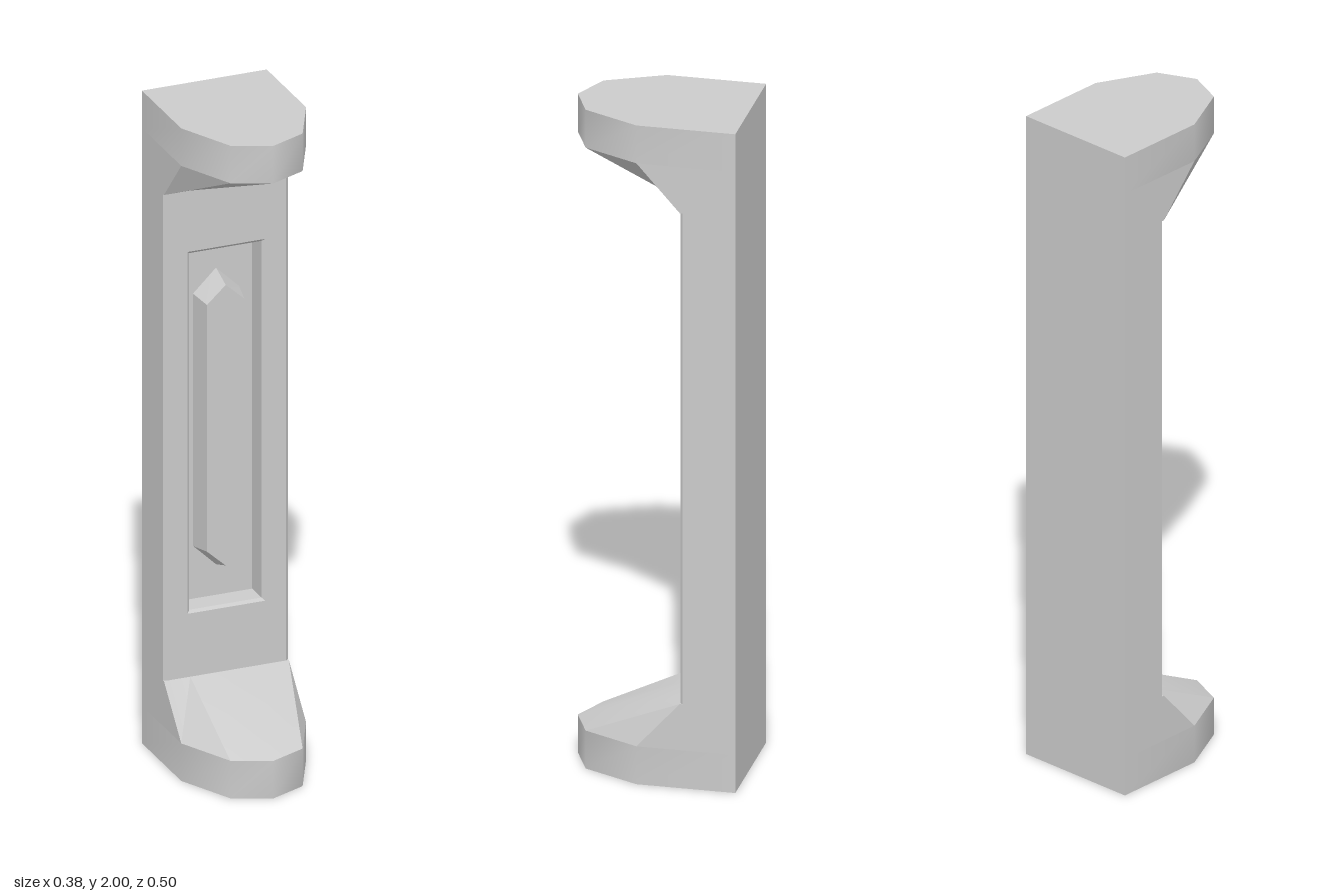
import * as THREE from 'three';
import { toCreasedNormals } from 'three/addons/utils/BufferGeometryUtils.js';

const material = new THREE.MeshStandardMaterial({ color: 0xcccccc });

// Skins a stack of convex rings (counterclockwise seen from the last one) and caps both ends.
function loft(rings, crease) {
  const n = rings[0].length;
  const index = [];
  for (let r = 0; r < rings.length - 1; r++) {
    for (let i = 0; i < n; i++) {
      const a = r * n + i, b = r * n + (i + 1) % n;
      index.push(a, b, b + n, a, b + n, a + n);
    }
  }
  const last = (rings.length - 1) * n;
  for (let i = 1; i < n - 1; i++) {
    index.push(0, i + 1, i, last, last + i, last + i + 1);
  }
  const geometry = new THREE.BufferGeometry();
  geometry.setAttribute('position', new THREE.Float32BufferAttribute(rings.flat(2), 3));
  geometry.setIndex(index);
  return toCreasedNormals(geometry.toNonIndexed(), crease);
}

function addMesh(parent, name, geometry) {
  const mesh = new THREE.Mesh(geometry, material);
  mesh.name = name;
  parent.add(mesh);
  return mesh;
}

const FRONT = -0.09; // front face of the shaft
const FLOOR = -0.165; // floor of the recess
const LOW = 0.255; // height where the lower bracket meets the shaft

// Plan of the end brackets as x, z pairs
const plan = [[0.19, -0.25], [-0.19, -0.25], [-0.19, 0.035], [-0.11, 0.2], [0, 0.248], [0.11, 0.2], [0.19, 0.035]];

// Pointed slab with a slope running back up to the shaft
function makeBracket(name) {
  const bracket = new THREE.Group();
  bracket.name = name;
  const level = (y, limit = 1) => plan.map(([x, z]) => [x, y, Math.min(z, limit)]);
  addMesh(bracket, 'bracketSlab', loft([level(0), level(0.115)], 0.9));
  addMesh(bracket, 'bracketSlope', loft([level(0.115), level(LOW, FRONT)], 0.5));
  return bracket;
}

// Shaft front with chamfered edges and a rectangular opening
function makeFrame() {
  const rectangle = (Type, w, y0, y1) => new Type([
    new THREE.Vector2(-w, y0), new THREE.Vector2(w, y0),
    new THREE.Vector2(w, y1), new THREE.Vector2(-w, y1),
  ]);
  const shape = rectangle(THREE.Shape, 0.19, 0.24, 1.76);
  shape.holes.push(rectangle(THREE.Path, 0.11, 0.457, 1.55));
  const bevel = 0.008;
  const back = FLOOR - 0.02;
  const geometry = new THREE.ExtrudeGeometry(shape, {
    depth: FRONT - back - 2 * bevel,
    bevelThickness: bevel, bevelSize: bevel, bevelOffset: -bevel, bevelSegments: 1,
  });
  geometry.translate(0, 0, back + bevel);
  return geometry;
}

// Long hexagonal ornament, pointed at both ends
function makeOrnament() {
  const ring = (w, tip, shoulder, z) => [
    [w, -shoulder, z], [w, shoulder, z], [0, tip, z],
    [-w, shoulder, z], [-w, -shoulder, z], [0, -tip, z],
  ];
  return loft([ring(0.072, 0.458, 0.388, FLOOR - 0.01), ring(0.057, 0.43, 0.378, FRONT - 0.005)], 0.2);
}

export function createModel() {
  const model = new THREE.Group();
  model.name = 'pilaster';

  model.add(makeBracket('lowerBracket'));
  const upper = makeBracket('upperBracket');
  upper.rotation.z = Math.PI;
  upper.position.y = 2;
  model.add(upper);

  const depth = FLOOR + 0.25;
  addMesh(model, 'shaftBack', new THREE.BoxGeometry(0.38, 2 - 2 * LOW, depth))
    .position.set(0, 1, -0.25 + depth / 2);
  addMesh(model, 'recessedFrame', makeFrame());
  addMesh(model, 'ornament', makeOrnament()).position.y = 1.005;

  return model;
}
